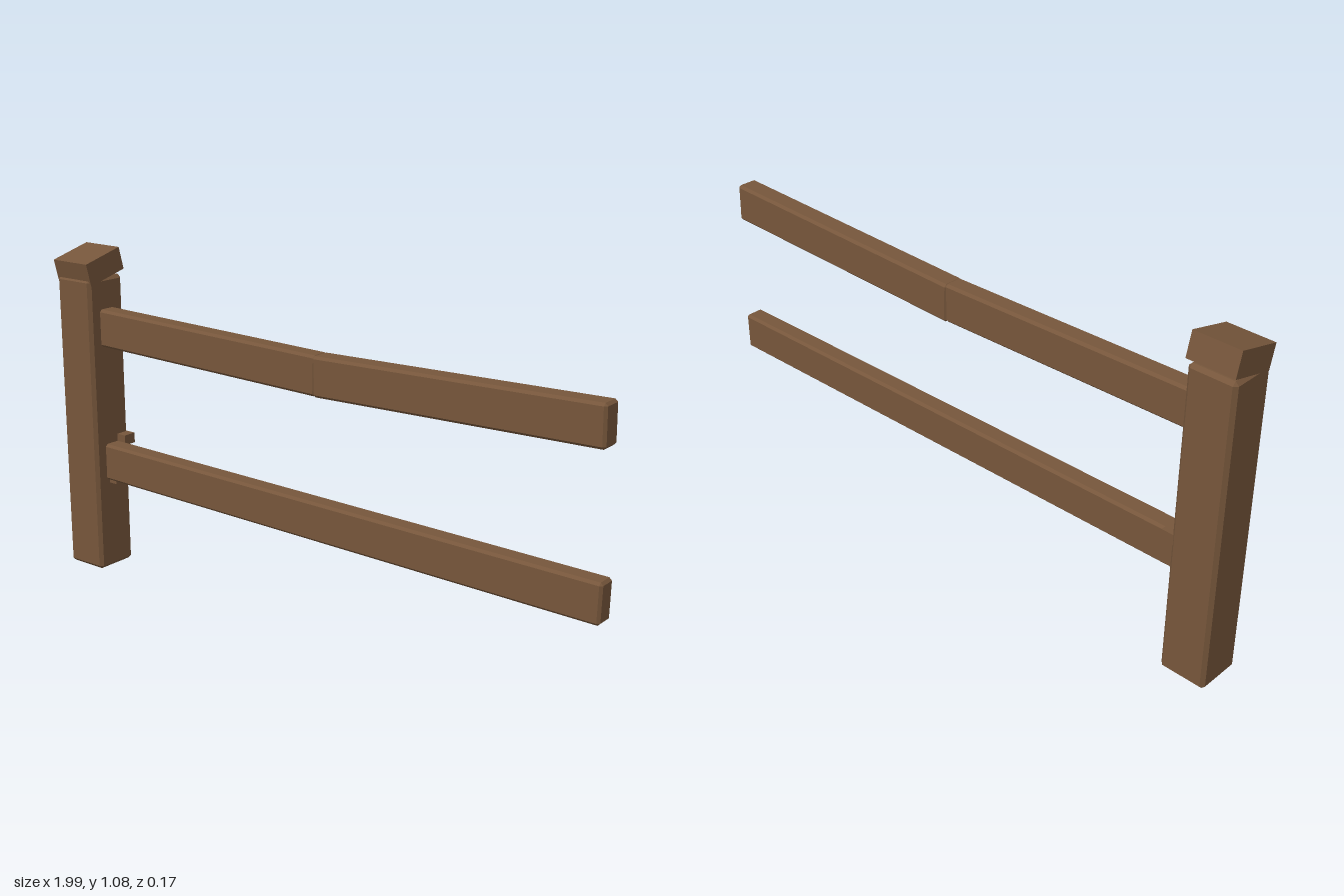
import * as THREE from 'three';
import { ConvexGeometry } from 'three/addons/geometries/ConvexGeometry.js';

const wood = new THREE.MeshStandardMaterial({ color: 0x76563b, flatShading: true });

// Box with every edge and corner cut at 45 degrees
function chamferBox(w, h, d, c) {
  const points = [];
  for (const x of [-1, 1]) for (const y of [-1, 1]) for (const z of [-1, 1]) {
    for (let full = 0; full < 3; full++) {
      const cut = (axis) => (axis === full ? 0 : c);
      points.push(new THREE.Vector3(x * (w / 2 - cut(0)), y * (h / 2 - cut(1)), z * (d / 2 - cut(2))));
    }
  }
  return new ConvexGeometry(points);
}

export function createModel() {
  const group = new THREE.Group();
  group.name = 'fenceSection';

  const add = (name, geometry, x, y, z) => {
    const mesh = new THREE.Mesh(geometry, wood);
    mesh.name = name;
    mesh.position.set(x, y, z);
    group.add(mesh);
    return mesh;
  };

  // Sloping plank between two end centres
  const addRail = (name, x0, y0, x1, y1, depth) => {
    const length = Math.hypot(x1 - x0, y1 - y0);
    const rail = add(name, chamferBox(length, 0.124, depth, 0.008), (x0 + x1) / 2, (y0 + y1) / 2, 0);
    rail.rotation.z = Math.atan2(y1 - y0, x1 - x0);
  };

  // Post with its tilted cap
  add('post', chamferBox(0.15, 0.995, 0.15, 0.011), -0.925, 0.4985, 0);
  const cap = add('postCap', new THREE.BoxGeometry(0.15, 0.076, 0.152), -0.925, 1.03, 0.001);
  cap.rotation.x = 0.25;

  // Upper rail sags at its joint, lower rail is one piece
  addRail('upperRailNear', -0.87, 0.832, 0.035, 0.812, 0.064);
  addRail('upperRailFar', 0.025, 0.811, 0.975, 0.832, 0.07);
  addRail('lowerRail', -0.87, 0.375, 0.99, 0.345, 0.064);

  // Pegs holding the lower rail to the post
  add('backPeg', new THREE.BoxGeometry(0.05, 0.034, 0.046), -0.84, 0.444, -0.046);
  add('underPeg', new THREE.BoxGeometry(0.04, 0.03, 0.04), -0.84, 0.315, 0);

  return group;
}
